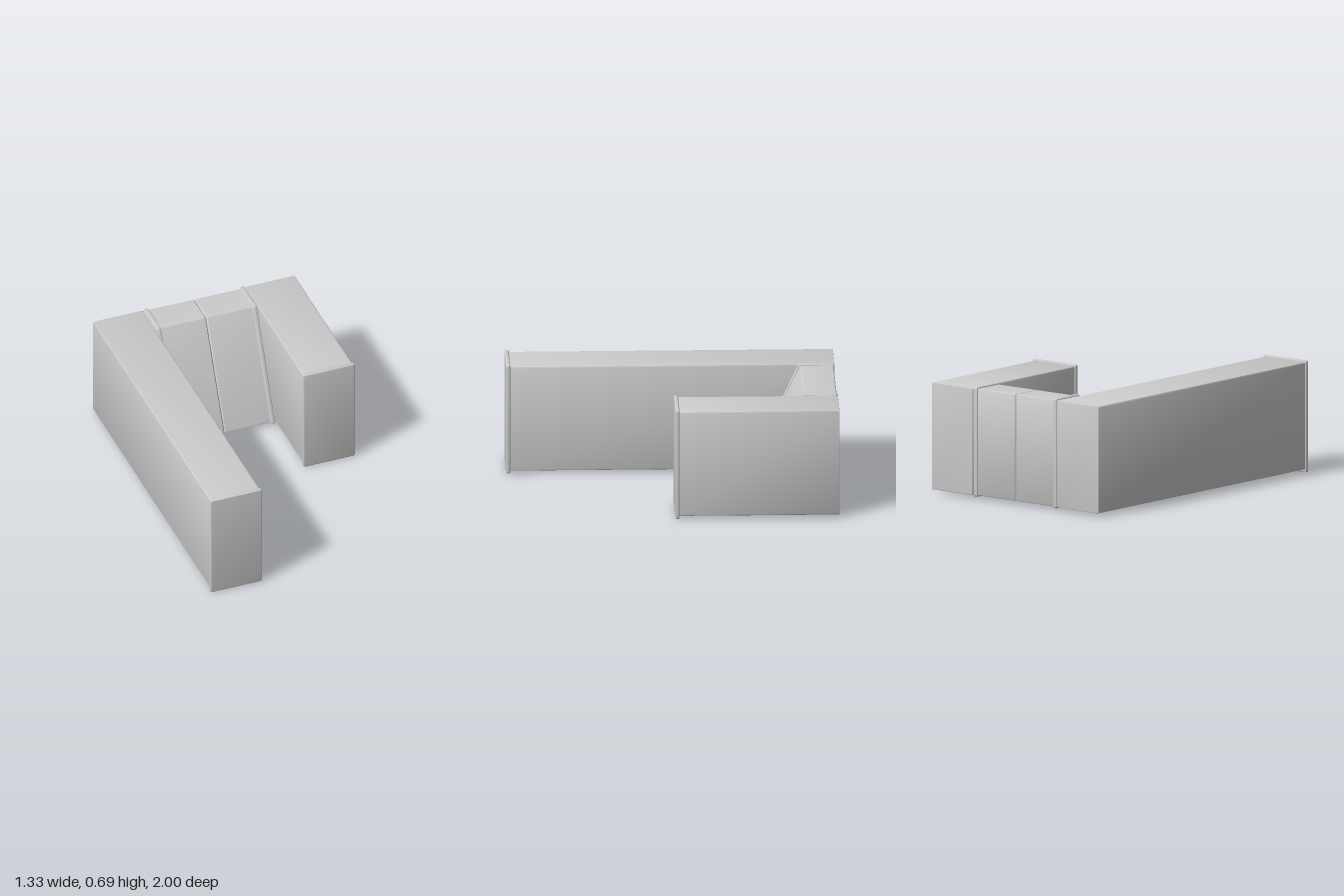
import * as THREE from 'three';
import { toCreasedNormals } from 'three/addons/utils/BufferGeometryUtils.js';

const material = new THREE.MeshStandardMaterial({ color: 0xcccccc });

// Closed outline with softened corners
function softShape(points, r) {
  const shape = new THREE.Shape();
  const p = points.map(([x, y]) => new THREE.Vector2(x, y));
  p.forEach((c, i) => {
    const prev = p[(i + p.length - 1) % p.length];
    const next = p[(i + 1) % p.length];
    const a = c.clone().add(prev.clone().sub(c).setLength(r));
    const b = c.clone().add(next.clone().sub(c).setLength(r));
    if (i === 0) shape.moveTo(a.x, a.y);
    else shape.lineTo(a.x, a.y);
    shape.quadraticCurveTo(c.x, c.y, b.x, b.y);
  });
  shape.closePath();
  return shape;
}

// Solid running from w0 to w1 along z, its end edges bevelled inwards
function prism(points, w0, w1, r, bevel, segments = 2) {
  const g = new THREE.ExtrudeGeometry(softShape(points, r), {
    depth: w1 - w0 - 2 * bevel,
    curveSegments: 4,
    bevelEnabled: true,
    bevelThickness: bevel,
    bevelSize: bevel,
    bevelOffset: -bevel,
    bevelSegments: segments,
  });
  g.translate(0, 0, w0 + bevel);
  return g;
}

function rect(x0, x1, y0, y1) {
  return [[x0, y0], [x1, y0], [x1, y1], [x0, y1]];
}

// Sloped section of the bridge, given as (-z, y), grown by an offset
function wedge(o, back) {
  return [[0.475 - o, 0.02 - o], [back, 0.02 - o], [back, 0.68 + o], [0.79 - o, 0.68 + o]];
}

function addMesh(parent, name, geometry) {
  const mesh = new THREE.Mesh(toCreasedNormals(geometry, 0.6), material);
  mesh.name = name;
  parent.add(mesh);
}

export function createModel() {
  const model = new THREE.Group();
  model.name = 'ductBend';

  // Long and short rectangular arms, each with a lipped front end
  for (const [side, s, front] of [['right', -1, 1], ['left', 1, 0]]) {
    const arm = new THREE.Group();
    arm.name = side + 'Arm';
    const span = (inner, outer) => (s > 0 ? [inner, outer] : [-outer, -inner]);
    addMesh(arm, side + 'ArmBody',
      prism(rect(...span(0.334, 0.659), 0.018, 0.68), -1, front - 0.01, 0.01, 0.004));
    addMesh(arm, side + 'EndLip',
      prism(rect(...span(0.328, 0.666), 0, 0.69), front - 0.026, front, 0.012, 0.007, 3));
    model.add(arm);
  }

  // Bridge in two halves that meet in a shallow groove, with a collar at each arm
  const bridge = new THREE.Group();
  bridge.name = 'bridge';
  for (const [side, s] of [['right', -1], ['left', 1]]) {
    const span = (a, b) => (s > 0 ? [a, b] : [-b, -a]);
    const half = prism(wedge(0, 0.994), ...span(0, 0.345), 0.01, 0.008, 1);
    addMesh(bridge, side + 'BridgeHalf', half.rotateY(Math.PI / 2));
    const collar = prism(wedge(0.009, 1), ...span(0.298, 0.328), 0.012, 0.007, 3);
    addMesh(bridge, side + 'Collar', collar.rotateY(Math.PI / 2));
  }
  model.add(bridge);

  return model;
}
